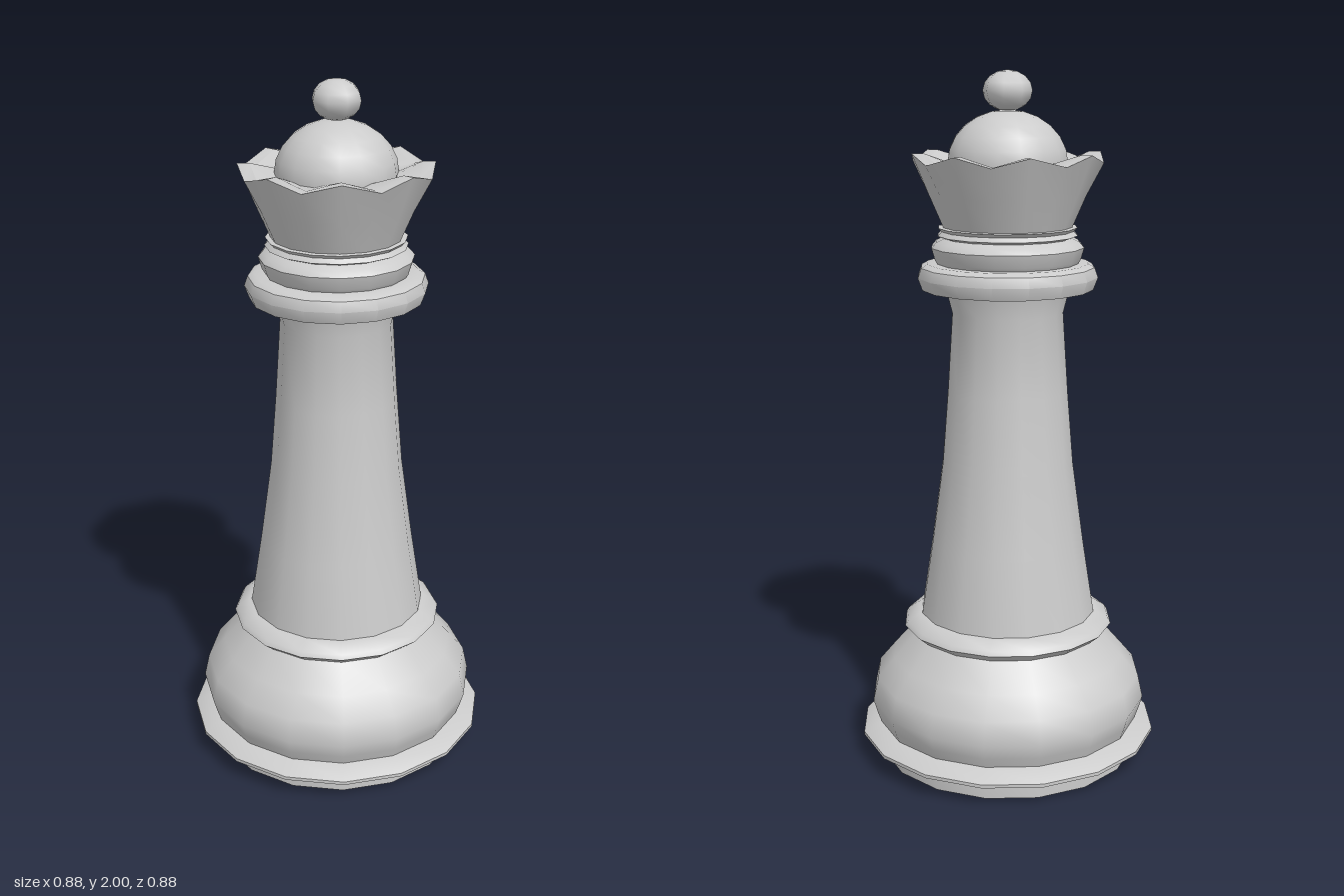
import * as THREE from 'three';
import { toCreasedNormals } from 'three/addons/utils/BufferGeometryUtils.js';

const SIDES = 16;

export function createModel() {
  const model = new THREE.Group();
  const material = new THREE.MeshStandardMaterial({ color: 0xcccccc });

  // Turn a [radius, height] profile, listed bottom to top, about the y axis
  function turned(name, profile, crease = 0.7, reshape) {
    const points = profile.map(([r, y]) => new THREE.Vector2(r, y));
    const lathe = new THREE.LatheGeometry(points, SIDES);
    if (reshape) reshape(lathe.attributes.position);
    const mesh = new THREE.Mesh(toCreasedNormals(lathe, crease), material);
    mesh.name = name;
    model.add(mesh);
  }

  // Squashed ball
  function ball(name, radius, halfHeight, y, sides, rows) {
    const geometry = new THREE.SphereGeometry(radius, sides, rows);
    geometry.scale(1, halfHeight / radius, 1);
    const mesh = new THREE.Mesh(geometry, material);
    mesh.name = name;
    mesh.position.y = y;
    model.add(mesh);
  }

  // Foot with its thin projecting flange
  turned('foot', [[0, 0], [0.38, 0], [0.38, 0.063], [0.44, 0.063], [0.44, 0.073], [0.39, 0.1], [0, 0.1]]);

  // Swelling lower body and the ring above it
  turned('lowerBody', [[0.385, 0.095], [0.398, 0.13], [0.41, 0.172], [0.395, 0.24], [0.345, 0.3], [0.28, 0.375]]);
  turned('lowerRing', [[0.28, 0.375], [0.31, 0.4], [0.302, 0.413], [0.267, 0.435], [0.22, 0.435]]);

  // Tapering column, flared at its top
  turned('column', [[0.26, 0.425], [0.225, 0.65], [0.192, 0.89], [0.175, 1.1], [0.16, 1.33], [0.178, 1.4]]);

  // Stacked collars
  turned('wideCollar', [[0.16, 1.397], [0.245, 1.397], [0.258, 1.432], [0.248, 1.46], [0.23, 1.47], [0.18, 1.47]]);
  turned('middleCollar', [[0.2, 1.468], [0.208, 1.48], [0.218, 1.515], [0.205, 1.53], [0.18, 1.542]]);
  turned('thinCollar', [[0.18, 1.54], [0.2, 1.548], [0.188, 1.56], [0.198, 1.57], [0.17, 1.573]]);

  // Crown: flared cup whose rim rises and dips eight times
  turned('crown',
    [[0.182, 1.568], [0.222, 1.66], [0.27, 1.763], [0.235, 1.763], [0.15, 1.742]], 0.6,
    (position) => {
      for (let i = 0; i < position.count; i++) {
        const x = position.getX(i), y = position.getY(i), z = position.getZ(i);
        if (y > 1.75) position.setY(i, y - 0.013 * Math.cos(8 * Math.atan2(x, z)));
      }
    });

  // Dome and finial
  ball('dome', 0.17, 0.145, 1.748, SIDES, 12);
  ball('finial', 0.07, 0.056, 1.944, 8, 8);

  return model;
}
